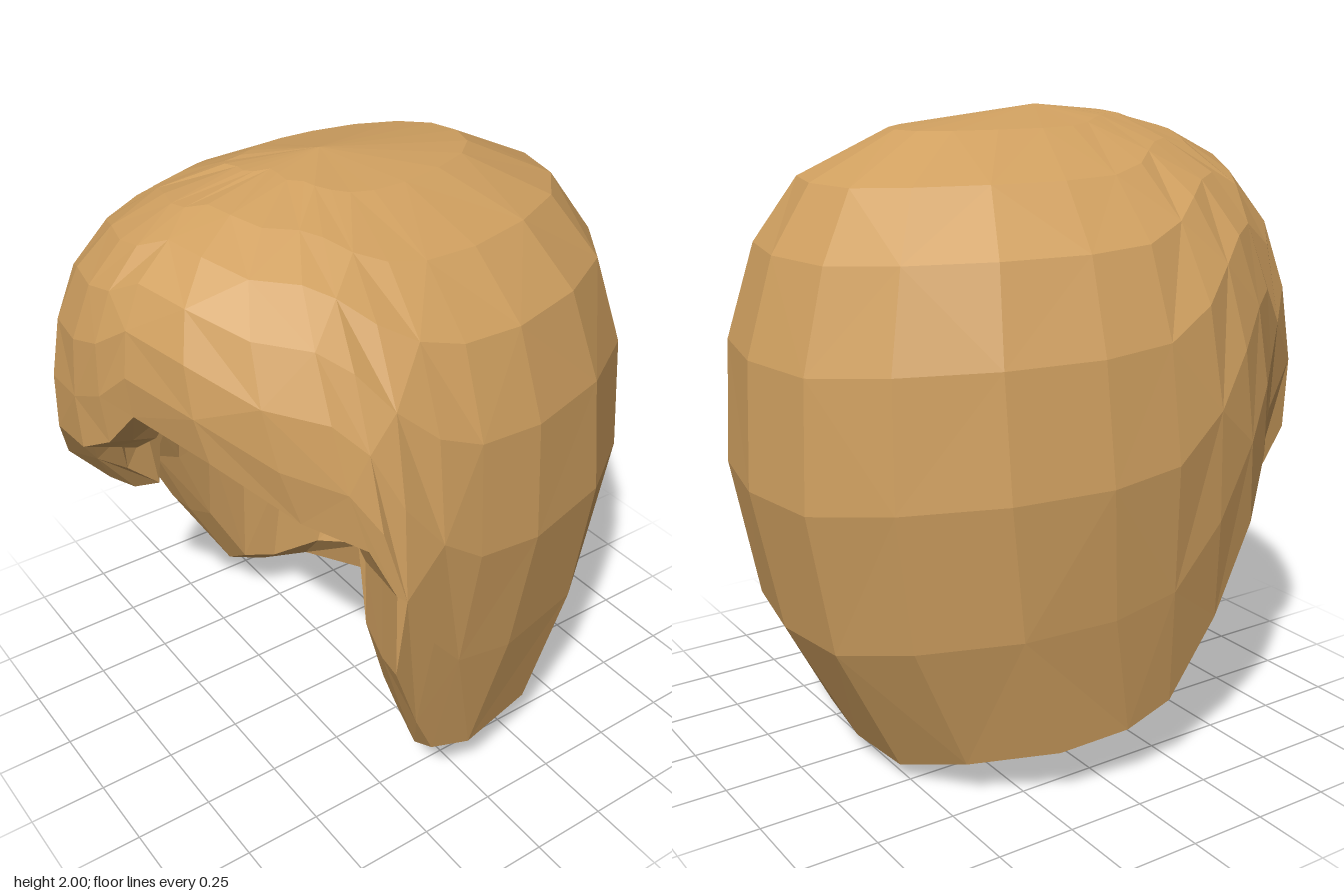
import * as THREE from 'three';

// Outer contour by height: [y, half width, front z, back z]
const LEVELS = [
  [0, .62, .6, -.53], [.3, .67, .65, -.7], [.55, .71, .7, -.82], [.77, .74, .75, -.88],
  [.98, .765, .8, -.88], [1.25, .755, .88, -.88], [1.48, .705, .88, -.82], [1.62, .65, .86, -.77],
  [1.77, .53, .79, -.7], [1.86, .41, .7, -.57], [1.93, .28, .55, -.42], [1.97, .17, .42, -.25], [2, 0, .12, .12],
];

// Lower edge of the hair, from the fringe round the left side, back and right side:
// [x, y, z, angle in degrees of the column of facets above it]
const HEM = [
  [0, 1.29, .84, 0], [.11, 1.42, .81, 9], [.36, 1.37, .72, 27], [.55, 1.22, .56, 45], [.68, 1.15, .43, 60],
  [.73, 1, .37, 68], [.72, .7, .36, 76], [.68, .42, .25, 84], [.66, .25, .17, 92], [.66, .19, .02, 104],
  [.6, .19, -.26, 122], [.4, .13, -.45, 142], [.2, .09, -.54, 161], [-.02, .065, -.56, 180], [-.24, .055, -.53, 199],
  [-.45, .12, -.42, 218], [-.62, .17, -.2, 238], [-.66, .2, .02, 256], [-.67, .26, .17, 268], [-.68, .5, .33, 277],
  [-.68, .78, .46, 285], [-.64, .97, .54, 294], [-.57, 1.03, .58, 304], [-.49, .81, .64, 313],
  [-.47, .98, .78, 321], [-.34, 1.17, .85, 335], [-.12, 1.22, .87, 350],
];
const STEPS = [0, .22, .45, .65, .8, .9, .97, 1];
const ZC = .12;

function levelAt(y) {
  let i = 1;
  while (i < LEVELS.length - 1 && LEVELS[i][0] < y) i++;
  const a = LEVELS[i - 1], b = LEVELS[i];
  const t = (y - a[0]) / (b[0] - a[0]);
  return a.map((v, k) => v + (b[k] - v) * t);
}

// Point on the slightly squared oval contour at a height
function ring(degrees, y) {
  const [, w, front, back] = levelAt(y);
  const angle = THREE.MathUtils.degToRad(degrees);
  const soft = (v) => Math.sign(v) * Math.abs(v) ** .92;
  const c = soft(Math.cos(angle));
  return new THREE.Vector3(w * soft(Math.sin(angle)), y, ZC + c * (c > 0 ? front - ZC : ZC - back));
}

// How far a hem point belongs to the back (0 at the front, 1 at the back)
const backness = (h) => THREE.MathUtils.clamp((.1 - h[2]) / .5, 0, 1);

// Column from the hem (s = 0) to the crown (s = 1), easing onto the contour
function outerPoint(h, s) {
  const [x, y, z, angle] = h;
  const shift = new THREE.Vector3(x, y, z).sub(ring(angle, y));
  return ring(angle, y + (2 - y) * s).addScaledVector(shift, (1 - s) ** 2);
}

// Lining: the outer form shrunk, with its own lower edge
function innerPoint(h, s) {
  const p = outerPoint(h, s), b = backness(h);
  const y0 = h[1] + (h[1] > .85 ? -.04 : .02) + .08 * b;
  return new THREE.Vector3(p.x * .7, y0 + (1.8 - y0) * s, ZC + (p.z - ZC) * .8);
}

// Thick rolled rim between the outer hair and the lining
function rimPoint(h) {
  const b = backness(h), low = h[1] < .3;
  return new THREE.Vector3(h[0] * .86, h[1] - (low ? .055 : .02), ZC + (h[2] - ZC) * (.9 - .12 * b));
}

function skin(name, rows, material) {
  const pos = [];
  const tri = (...pts) => {
    const [a, b, c] = pts;
    const area = b.clone().sub(a).cross(c.clone().sub(a)).length();
    if (area > 1e-7) pts.forEach((p) => pos.push(p.x, p.y, p.z));
  };
  for (let r = 0; r < rows.length - 1; r++) {
    for (let i = 0; i < HEM.length; i++) {
      const j = (i + 1) % HEM.length;
      const a = rows[r][i], b = rows[r][j], c = rows[r + 1][j], d = rows[r + 1][i];
      if ((i + r) % 2) { tri(a, b, c); tri(a, c, d); }
      else { tri(a, b, d); tri(b, c, d); }
    }
  }
  const geometry = new THREE.BufferGeometry();
  geometry.setAttribute('position', new THREE.Float32BufferAttribute(pos, 3));
  geometry.computeVertexNormals();
  const mesh = new THREE.Mesh(geometry, material);
  mesh.name = name;
  return mesh;
}

export function createModel() {
  const hair = new THREE.MeshStandardMaterial({ color: 0xd0a060, flatShading: true });
  hair.name = 'golden brown hair';

  const outer = STEPS.map((s) => HEM.map((h) => outerPoint(h, s)));
  const inner = [...STEPS].reverse().map((s) => HEM.map((h) => innerPoint(h, s)));
  const rim = HEM.map(rimPoint);

  const group = new THREE.Group();
  group.name = 'hair';
  group.add(
    skin('outerHair', outer, hair),
    skin('hairRim', [inner[inner.length - 1], rim, outer[0]], hair),
    skin('innerHair', inner, hair),
  );
  return group;
}
